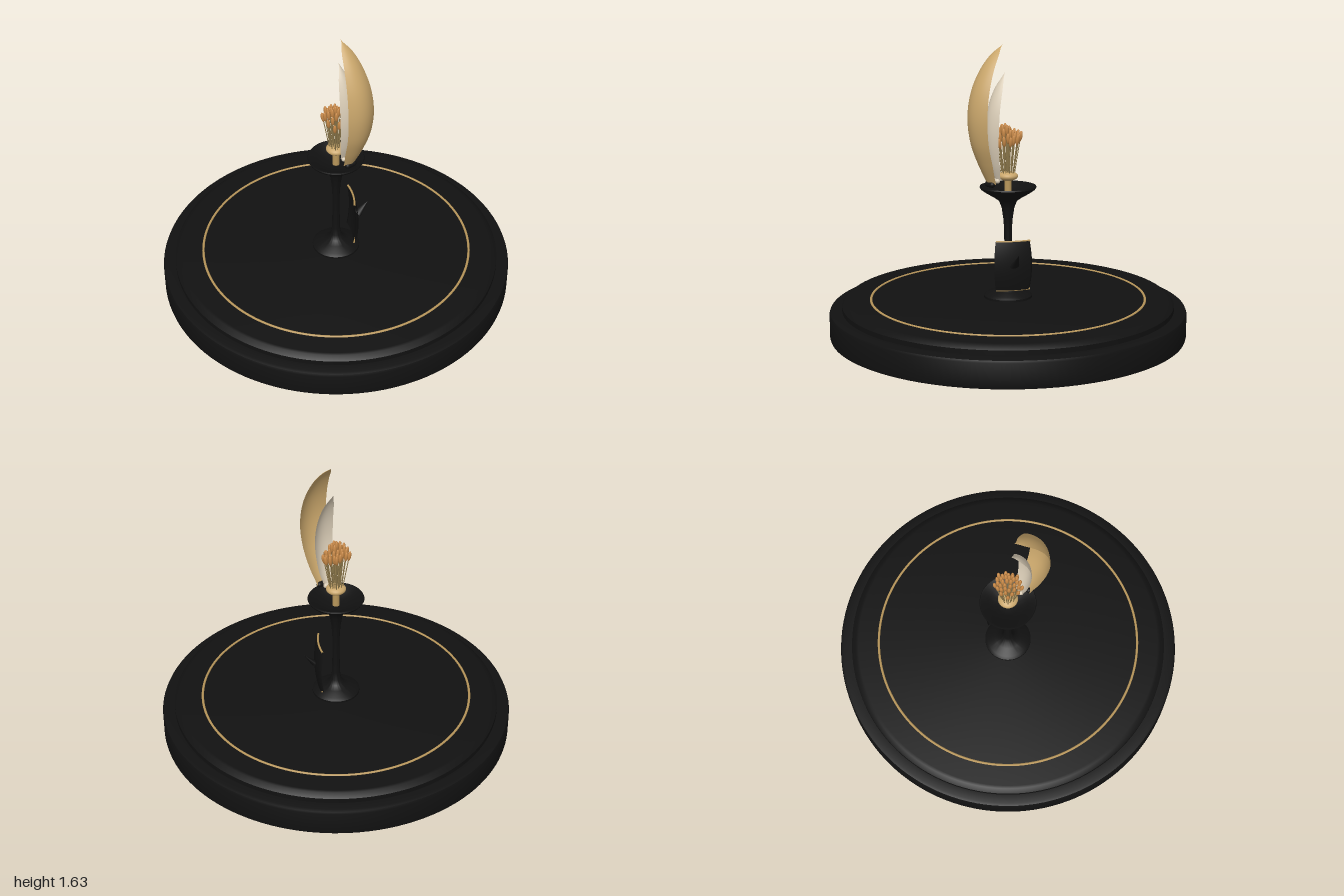
import * as THREE from 'three';
import { toCreasedNormals } from 'three/addons/utils/BufferGeometryUtils.js';
import { ParametricGeometry } from 'three/addons/geometries/ParametricGeometry.js';

const mat = (name, color, side = THREE.FrontSide) => {
  const m = new THREE.MeshStandardMaterial({ color, side });
  m.name = name;
  return m;
};

export function createModel() {
  const model = new THREE.Group();
  model.name = 'flowerOnStand';

  const black = mat('black', 0x111111, THREE.DoubleSide);
  const trimGold = mat('trim gold', 0xb8965a);
  const petalGold = mat('petal gold', 0xc9a66b, THREE.DoubleSide);
  const cream = mat('cream', 0xd8cbb5, THREE.DoubleSide);
  const filamentTan = mat('filament tan', 0x8f7a4c);
  const antherOrange = mat('anther orange', 0xc98a48);

  const add = (name, geometry, material, parent = model) => {
    const mesh = new THREE.Mesh(geometry, material);
    mesh.name = name;
    parent.add(mesh);
    return mesh;
  };
  const lathe = (points, segments) => toCreasedNormals(
    new THREE.LatheGeometry(points.map(([r, y]) => new THREE.Vector2(r, y)), segments), 0.6);
  // Aligns a y-axis mesh so that it runs from a to b
  const span = (mesh, a, b) => {
    mesh.position.copy(a).lerp(b, 0.5);
    mesh.quaternion.setFromUnitVectors(new THREE.Vector3(0, 1, 0), b.clone().sub(a).normalize());
  };

  // Stepped round base with an inlaid ring
  add('base', lathe([[0, 0], [0.985, 0], [0.997, 0.006], [1, 0.018], [1, 0.14], [0.995, 0.152],
    [0.98, 0.157], [0.93, 0.158], [0.93, 0.185], [0.905, 0.207], [0.89, 0.21], [0, 0.21]], 128), black);
  const ring = add('inlaidRing', new THREE.TorusGeometry(0.768, 0.007, 8, 128), trimGold);
  ring.rotation.x = Math.PI / 2;
  ring.position.y = 0.21;

  // Flared foot, slim stem and shallow cup
  add('stemAndCup', lathe([[0.135, 0.21], [0.135, 0.222], [0.12, 0.235], [0.075, 0.25], [0.045, 0.268],
    [0.03, 0.295], [0.023, 0.34], [0.021, 0.45], [0.021, 0.58], [0.025, 0.65], [0.035, 0.72],
    [0.05, 0.76], [0.085, 0.785], [0.125, 0.808], [0.15, 0.826], [0.158, 0.838], [0.155, 0.845],
    [0.148, 0.843], [0.11, 0.82], [0.06, 0.8], [0, 0.793]], 48), black);

  // Curved panel beside the stem, running from its front edge to its back edge
  const panel = new THREE.Group();
  panel.name = 'sidePanel';
  model.add(panel);
  const panelPoint = (u, v, target) => {
    const bow = 0.016 * (1 - (2 * v - 1) ** 2);
    const arch = 0.012 * (1 - (2 * u - 1) ** 2);
    const out = bow + arch;
    const length = 0.85 + 0.15 * Math.sin(Math.PI * Math.min(1, v * 0.8 + 0.1));
    const s = (u - 0.5) * length;
    target.set(0.082 + 0.1 * s + out * 0.88, 0.27 + 0.28 * v, 0.034 - 0.19 * s + out * 0.47);
  };
  const slab = (v0, v1, thickness) => {
    // Closed slab: the loop goes along the outer face and returns along the inner face
    const p = new THREE.Vector3();
    return new ParametricGeometry((t, v, target) => {
      const outer = t < 0.5;
      panelPoint(outer ? t * 2 : 2 - t * 2, v0 + (v1 - v0) * v, p);
      const k = outer ? thickness / 2 : -thickness / 2;
      target.set(p.x + 0.88 * k, p.y, p.z + 0.47 * k);
    }, 32, 12);
  };
  add('panelSheet', slab(0.01, 0.99, 0.014), black, panel);
  const edgePath = (v) => new THREE.CatmullRomCurve3(Array.from({ length: 9 }, (_, i) => {
    const p = new THREE.Vector3();
    panelPoint(i / 8, v, p);
    return p;
  }));
  add('panelTopTrim', new THREE.TubeGeometry(edgePath(0.99), 24, 0.006, 6), trimGold, panel);
  add('panelBottomTrim', new THREE.TubeGeometry(edgePath(0.01), 24, 0.006, 6), trimGold, panel);
  const thorn = add('panelThorn', new THREE.ConeGeometry(0.03, 0.095, 16), black, panel);
  span(thorn, new THREE.Vector3(0.115, 0.415, 0.05), new THREE.Vector3(0.178, 0.49, 0.072));
  thorn.scale.x = 0.55;

  // Petals: a bent spine in the z-y plane with a cupped cross-section
  const petal = (name, spine, widths, cup, material) => {
    const curve = new THREE.CatmullRomCurve3(spine.map(([z, y]) => new THREE.Vector3(0, y, z)));
    const width = new THREE.SplineCurve(widths.map((w, i) =>
      new THREE.Vector2(i / (widths.length - 1), w)));
    const widest = Math.max(...widths);
    const p = new THREE.Vector3();
    return add(name, new ParametricGeometry((u, v, target) => {
      curve.getPoint(v, p);
      const w = Math.max(0.0005, width.getPoint(v).y);
      const s = 2 * u - 1;
      target.set(w * s, p.y, p.z - cup * (w / widest) * s * s);
    }, 14, 40), material);
  };
  petal('outerPetal', [[0.135, 0.87], [0.19, 0.98], [0.236, 1.1], [0.253, 1.24], [0.23, 1.38],
    [0.172, 1.5], [0.105, 1.58], [0.04, 1.63]],
  [0.04, 0.064, 0.079, 0.086, 0.078, 0.058, 0.033, 0], 0.036, petalGold);
  petal('innerPetal', [[0.085, 0.885], [0.115, 0.97], [0.137, 1.08], [0.14, 1.18], [0.122, 1.29],
    [0.082, 1.39], [0.02, 1.48]],
  [0.025, 0.044, 0.055, 0.059, 0.052, 0.034, 0], 0.026, cream);

  // Small rounded hinges at the petal roots
  [['outerHinge', 0.016, 0.04, 0.868, 0.13, black], ['innerHinge', 0.014, 0.02, 0.882, 0.083, cream]]
    .forEach(([name, r, length, y, z, material]) => {
      const hinge = add(name, new THREE.CapsuleGeometry(r, length, 6, 16), material);
      hinge.rotation.z = Math.PI / 2;
      hinge.position.set(0, y, z);
    });

  // Flower centre
  add('centreStalk', new THREE.CylinderGeometry(0.02, 0.02, 0.11, 20), trimGold).position.y = 0.84;
  const heart = add('flowerHeart', new THREE.SphereGeometry(0.056, 28, 16), petalGold);
  heart.scale.y = 0.48;
  heart.position.y = 0.9;

  // Spray of stamens in a sunflower spiral
  const stamens = new THREE.Group();
  stamens.name = 'stamens';
  model.add(stamens);
  const filamentCount = 36;
  for (let i = 0; i < filamentCount; i++) {
    const t = Math.sqrt((i + 0.5) / filamentCount);
    const angle = i * 2.39996;
    const at = (r, y) => new THREE.Vector3(r * Math.cos(angle), y, r * Math.sin(angle));
    const top = 1.155 - 0.055 * t * t + 0.018 * Math.sin(i * 2.3);
    const root = at(0.038 * t, 0.91);
    const tip = at(0.075 * t, top);
    const filament = add('filament', new THREE.CylinderGeometry(0.0026, 0.0026, root.distanceTo(tip), 6),
      filamentTan, stamens);
    span(filament, root, tip);
    const anther = add('anther', new THREE.SphereGeometry(0.0105, 10, 8), antherOrange, stamens);
    span(anther, root, tip);
    anther.position.copy(tip);
    anther.scale.y = 2.9;
  }
  return model;
}
